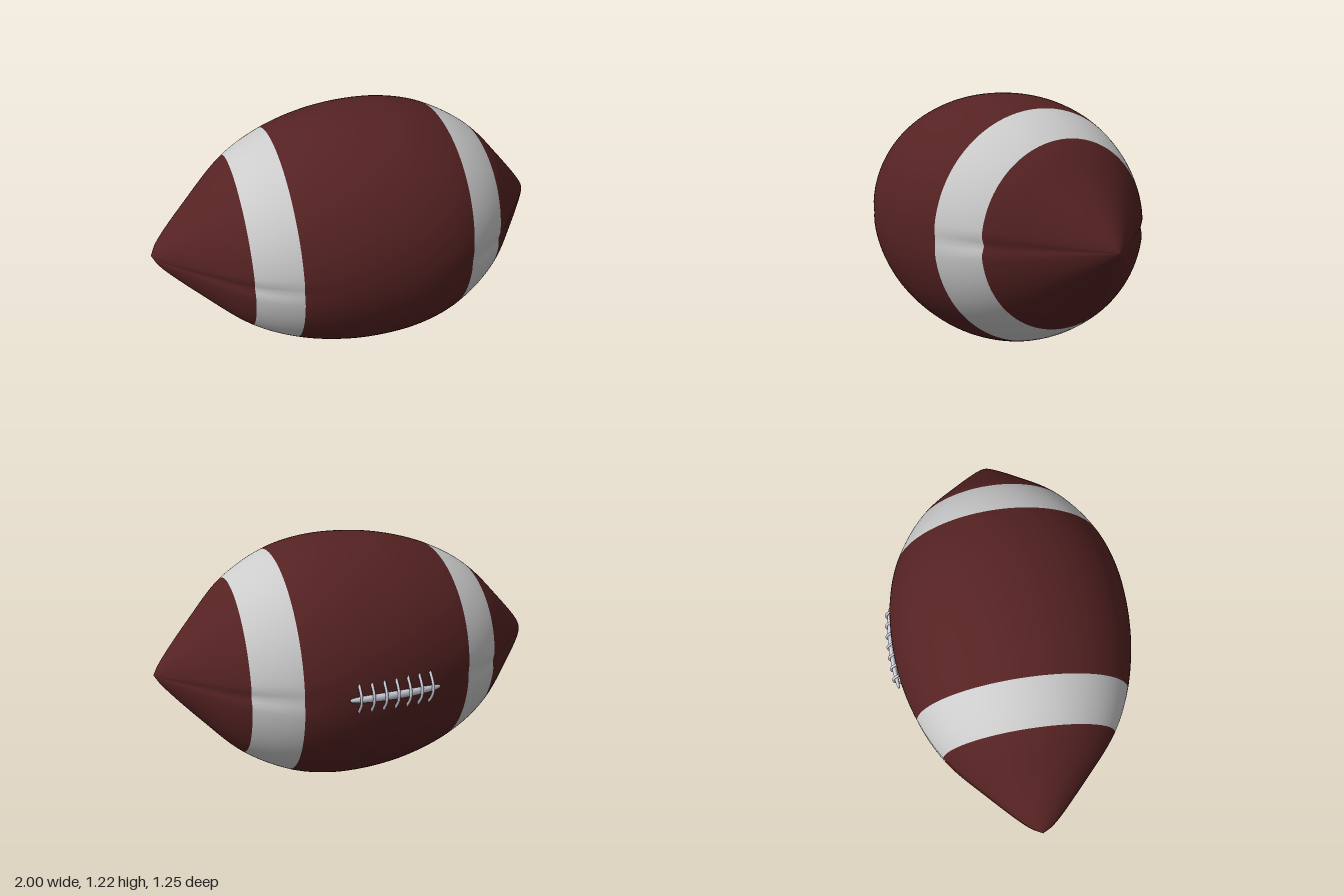
import * as THREE from 'three';

const CY = 0.609, CZ = 0.016, COLS = 144, SUB = 8;

// Profile along the long axis: x, radius
const PROFILE = [
  [-1, 0], [-0.97, 0.055], [-0.8, 0.232], [-0.59, 0.421], [-0.39, 0.525], [-0.16, 0.588],
  [0.06, 0.608], [0.25, 0.595], [0.425, 0.546], [0.63, 0.426], [0.8, 0.251], [0.97, 0.05], [1, 0],
];

// Panels as ranges of profile points
const PANELS = [
  ['rightTip', 0, 3, 'leather'], ['rightStripe', 3, 4, 'stripe'], ['middlePanel', 4, 8, 'leather'],
  ['leftStripe', 8, 9, 'stripe'], ['leftTip', 9, 12, 'leather'],
];

const mesh = (name, geometry, material) => {
  const m = new THREE.Mesh(geometry, material);
  m.name = name;
  return m;
};

// Whole skin as rings, with pinched seams at front and back that fade in the middle
function skinAttributes() {
  const curve = new THREE.CatmullRomCurve3(PROFILE.map(([x, r]) => new THREE.Vector3(x, r, 0)));
  const rows = (PROFILE.length - 1) * SUB;
  const pos = [];
  for (let i = 0; i <= rows; i++) {
    const p = curve.getPoint(i / rows);
    const depth = 0.035 * THREE.MathUtils.smoothstep(Math.abs(p.x - 0.02), 0.2, 0.75);
    for (let j = 0; j < COLS; j++) {
      const a = (j / COLS) * Math.PI * 2;
      const off = Math.asin(Math.cos(a)) / 0.06;
      const r = Math.max(0, p.y) * (1 - depth * Math.exp(-off * off));
      pos.push(p.x, CY + r * Math.cos(a), CZ + r * Math.sin(a));
    }
  }
  const g = new THREE.BufferGeometry();
  g.setAttribute('position', new THREE.Float32BufferAttribute(pos, 3));
  g.setIndex(ringIndex(0, rows));
  g.computeVertexNormals();
  // Tip normals point straight along the axis
  for (let j = 0; j < COLS; j++) {
    g.attributes.normal.setXYZ(j, -1, 0, 0);
    g.attributes.normal.setXYZ(rows * COLS + j, 1, 0, 0);
  }
  return g.attributes;
}

function ringIndex(from, to) {
  const index = [];
  for (let i = from; i < to; i++) {
    for (let j = 0; j < COLS; j++) {
      const k = (j + 1) % COLS;
      const a = i * COLS + j, b = i * COLS + k, c = a + COLS, d = b + COLS;
      index.push(a, b, c, b, d, c);
    }
  }
  return index;
}

// Cuts one panel out of the skin, keeping the shared smooth normals
function panelGeometry(attributes, from, to) {
  const start = from * SUB, rows = (to - from) * SUB;
  const g = new THREE.BufferGeometry();
  for (const key of ['position', 'normal']) {
    const part = attributes[key].array.slice(start * COLS * 3, (start + rows + 1) * COLS * 3);
    g.setAttribute(key, new THREE.BufferAttribute(part, 3));
  }
  g.setIndex(ringIndex(0, rows));
  return g;
}

export function createModel() {
  const ball = new THREE.Group();
  ball.name = 'football';
  const materials = {
    leather: new THREE.MeshStandardMaterial({ color: 0x552222 }),
    stripe: new THREE.MeshStandardMaterial({ color: 0xcccccc }),
    lace: new THREE.MeshStandardMaterial({ color: 0xd0d0dc }),
  };

  // Leather panels and stripes
  const attributes = skinAttributes();
  for (const [name, from, to, mat] of PANELS) {
    ball.add(mesh(name, panelGeometry(attributes, from, to), materials[mat]));
  }

  // Lacing on the back
  const laces = new THREE.Group();
  laces.name = 'laces';
  const spineZ = (x) => -0.601 + 0.32 * (x - 0.04) ** 2;

  // Long lace: a flattened tapering rod bent along the skin
  const spine = new THREE.SphereGeometry(1, 20, 32);
  spine.rotateZ(Math.PI / 2);
  const p = spine.attributes.position;
  for (let i = 0; i < p.count; i++) {
    const t = p.getX(i), x = 0.02 + 0.22 * t;
    const ring = Math.hypot(p.getY(i), p.getZ(i)) || 1;
    const swell = Math.pow(Math.max(0, 1 - t * t), 0.3) / ring;
    p.setXYZ(i, x, CY + p.getY(i) * swell * 0.019, spineZ(x) + p.getZ(i) * swell * 0.013);
  }
  spine.computeVertexNormals();
  laces.add(mesh('longLace', spine, materials.lace));

  // Cross laces arching over the long lace into the skin
  for (let i = 0; i < 7; i++) {
    const x = -0.153 + i * 0.058, z = spineZ(x);
    const path = new THREE.CatmullRomCurve3(
      [[-0.072, 0.022], [-0.045, 0.0], [-0.018, -0.015], [0.018, -0.015], [0.045, 0.0], [0.072, 0.022]]
        .map(([y, dz]) => new THREE.Vector3(x, CY + y, z + dz)));
    laces.add(mesh('crossLace', new THREE.TubeGeometry(path, 24, 0.0065, 8), materials.lace));
  }
  ball.add(laces);
  return ball;
}
